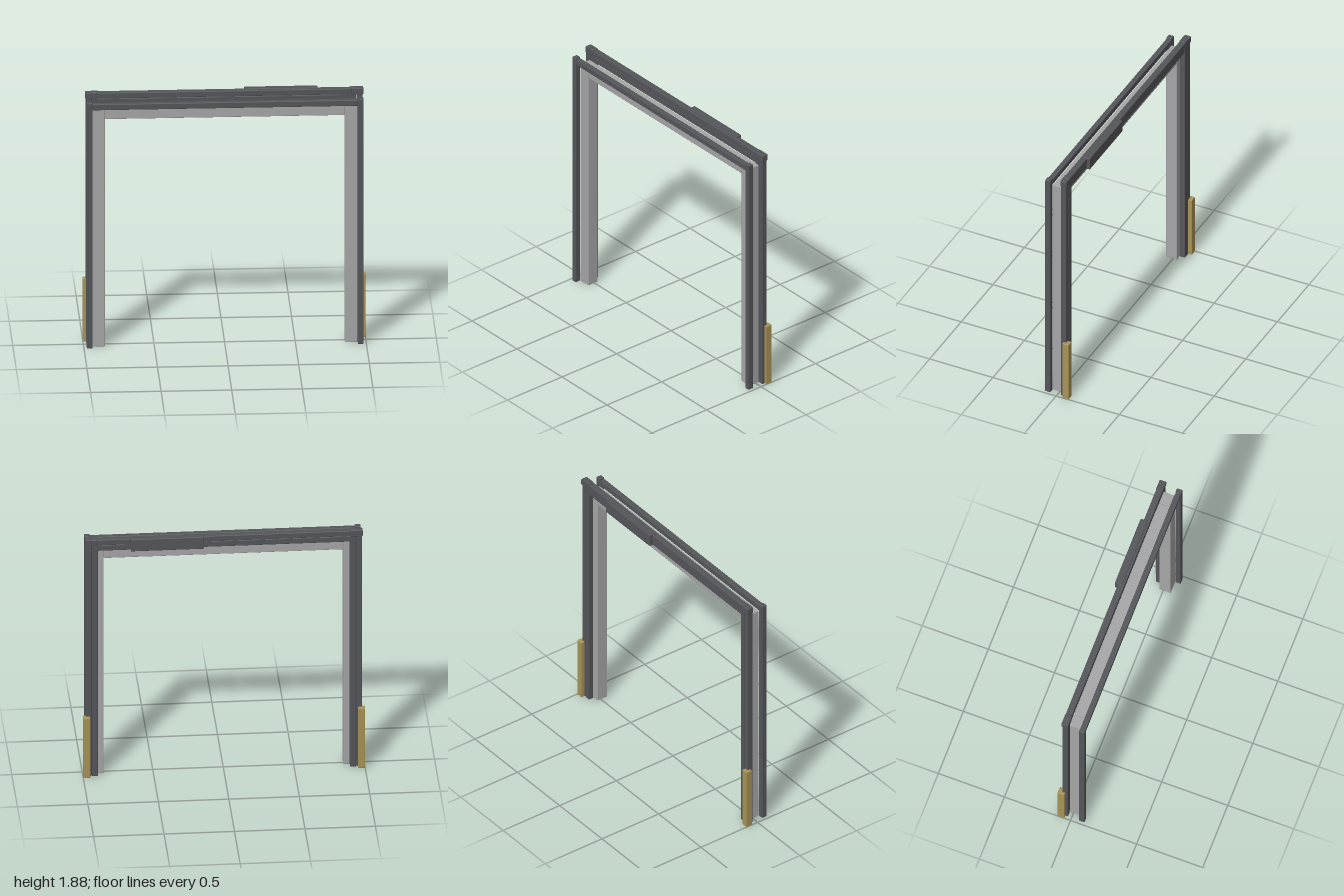
import * as THREE from 'three';
import { RoundedBoxGeometry } from 'three/addons/geometries/RoundedBoxGeometry.js';

const steel = new THREE.MeshStandardMaterial({ color: 0x55565a });
const lining = new THREE.MeshStandardMaterial({ color: 0xa6a6a8 });
const brass = new THREE.MeshStandardMaterial({ color: 0xa89456 });

// Softly bevelled bar given by its extents on each axis
function bar(group, name, material, [x0, x1], [y0, y1], [z0, z1], bevel = 0.005) {
  const geometry = new RoundedBoxGeometry(x1 - x0, y1 - y0, z1 - z0, 1, bevel);
  const mesh = new THREE.Mesh(geometry, material);
  mesh.position.set((x0 + x1) / 2, (y0 + y1) / 2, (z0 + z1) / 2);
  mesh.name = name;
  group.add(mesh);
}

export function createModel() {
  const model = new THREE.Group();
  model.name = 'doorFrame';

  // Uprights, mirrored left and right
  for (const [side, s] of [['left', 1], ['right', -1]]) {
    const leg = new THREE.Group();
    leg.name = side + 'Jamb';
    const post = (name, material, [a, b], y, z) =>
      bar(leg, name, material, s > 0 ? [a, b] : [-b, -a], y, z);

    post('jambLining', lining, [0.85, 0.94], [0, 1.79], [-0.03, 0.056]);
    post('frontTrimPost', steel, [0.94, 0.98], [0, 1.845], [0.056, 0.098]);
    post('backOuterPost', steel, [0.94, 0.98], [0, 1.84], [-0.07, -0.028]);
    post('backInnerPost', steel, [0.895, 0.938], [0, 1.885], [-0.072, -0.032]);
    post('cornerCap', steel, [0.9, 0.985], [1.833, 1.881], [-0.076, -0.025]);
    post('brassGuard', brass, [0.95, 1.0], [0, 0.475], [-0.099, -0.047]);
    model.add(leg);
  }

  // Lintel and horizontal trim
  bar(model, 'lintelLining', lining, [-0.85, 0.85], [1.71, 1.79], [-0.03, 0.056]);
  bar(model, 'frontTrimRail', steel, [-0.94, 0.94], [1.792, 1.836], [0.056, 0.096]);
  bar(model, 'backLowerRail', steel, [-0.9, 0.9], [1.79, 1.834], [-0.07, -0.03]);
  bar(model, 'backUpperRail', steel, [-0.9, 0.9], [1.835, 1.878], [-0.074, -0.027]);

  // Closer housing on the back of the lintel
  bar(model, 'closerHousing', steel, [0.143, 0.662], [1.79, 1.884], [-0.098, -0.045]);

  return model;
}
